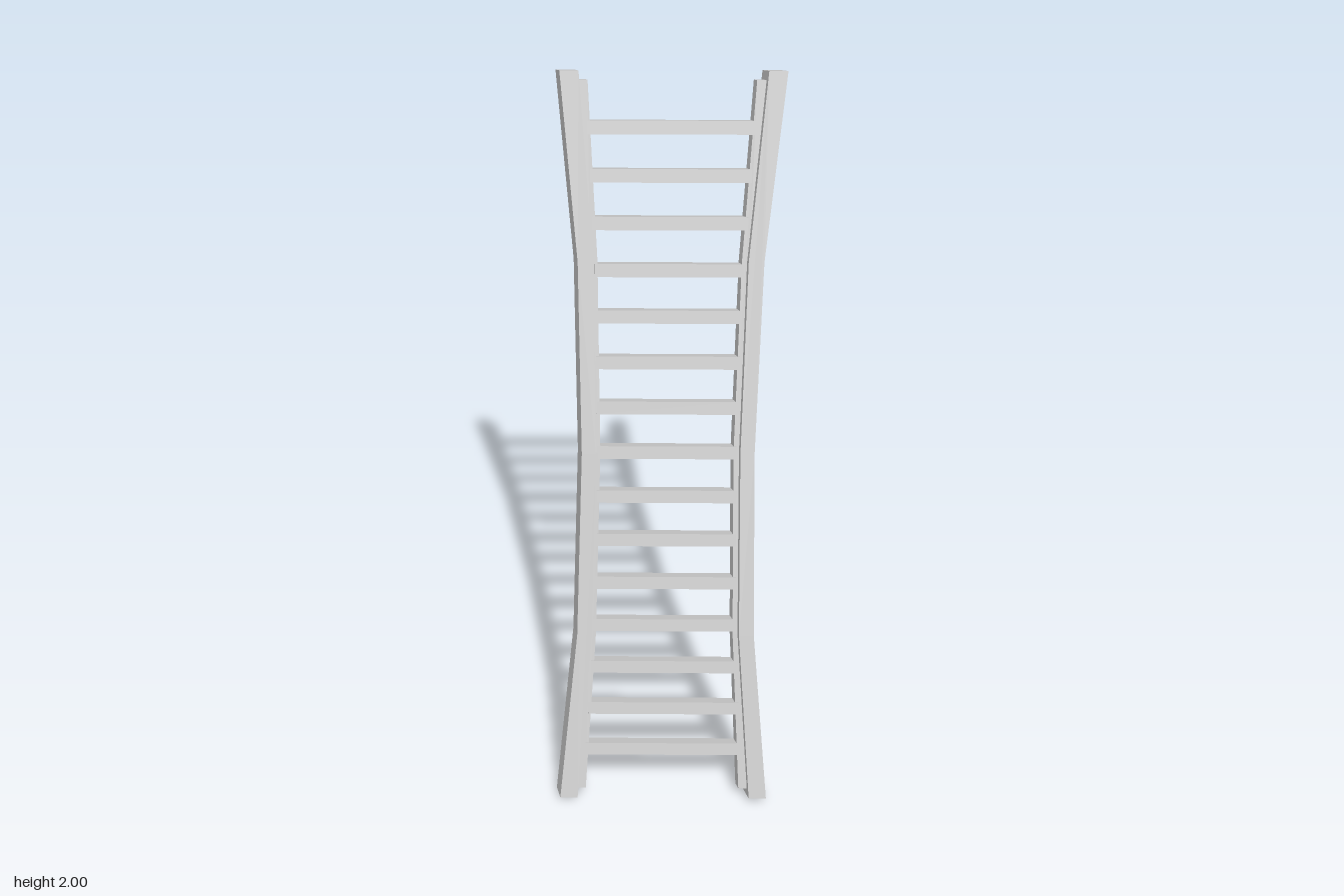
import * as THREE from 'three';

const material = new THREE.MeshStandardMaterial({ color: 0xcccccc, flatShading: true });

// Slight sideways skew of the whole ladder: x shifts along its length and depth
const skew = new THREE.Matrix4().set(
  1, 0.0115, 0.22, 0,
  0, 1, 0, 0,
  0, 0, 1, 0,
  0, 0, 0, 1
);

// Half-profiles from the foot to the middle: [distance along ladder, x]
const OUTER = [[1.032, 0.2985], [0.53, 0.25], [0, 0.238]];
const INNER = [[1.032, 0.2485], [0.53, 0.208], [0, 0.199]];
const STRIP_OUT = [[1.008, 0.255], [0.53, 0.215], [0, 0.206]];
const STRIP_IN = [[1.008, 0.222], [0.53, 0.194], [0, 0.184]];

// Full bowed edge, bottom to top, from a half-profile
function bowedEdge(half, side) {
  const lower = half.map(([s, x]) => new THREE.Vector2(side * x, -s));
  const upper = half.slice(0, -1).reverse().map(([s, x]) => new THREE.Vector2(side * x, s));
  return [...lower, ...upper];
}

function bowedBar(outer, inner, side, depth) {
  const shape = new THREE.Shape([...bowedEdge(outer, side), ...bowedEdge(inner, side).reverse()]);
  const geometry = new THREE.ExtrudeGeometry(shape, { depth, bevelEnabled: false });
  return geometry.translate(0, 0, -depth / 2);
}

// Half-width between the strips at a distance along the ladder
function innerHalfWidth(s) {
  const d = Math.abs(s);
  const [end, kink, mid] = STRIP_IN;
  const [a, b] = d > kink[0] ? [kink, end] : [mid, kink];
  return THREE.MathUtils.mapLinear(d, a[0], b[0], a[1], b[1]);
}

export function createModel() {
  const model = new THREE.Group();
  model.name = 'ladder';

  const add = (name, geometry) => {
    const mesh = new THREE.Mesh(geometry.applyMatrix4(skew), material);
    mesh.name = name;
    model.add(mesh);
  };

  // Bowed side rails, each with a thin strip along its inner face
  for (const [label, side] of [['left', 1], ['right', -1]]) {
    add(`${label}Rail`, bowedBar(OUTER, INNER, side, 0.067));
    add(`${label}InnerStrip`, bowedBar(STRIP_OUT, STRIP_IN, side, 0.034));
  }

  // Evenly spaced rungs let into the strips
  const count = 15;
  for (let i = 0; i < count; i++) {
    const s = THREE.MathUtils.lerp(-0.885, 0.885, i / (count - 1));
    const width = 2 * (innerHalfWidth(s) + 0.008);
    add(`rung${i + 1}`, new THREE.BoxGeometry(width, 0.036, 0.037).translate(0, s, 0));
  }

  // Lean the ladder backwards and stand it on the ground
  model.rotation.x = -0.286;
  model.position.y = 1;
  return model;
}
